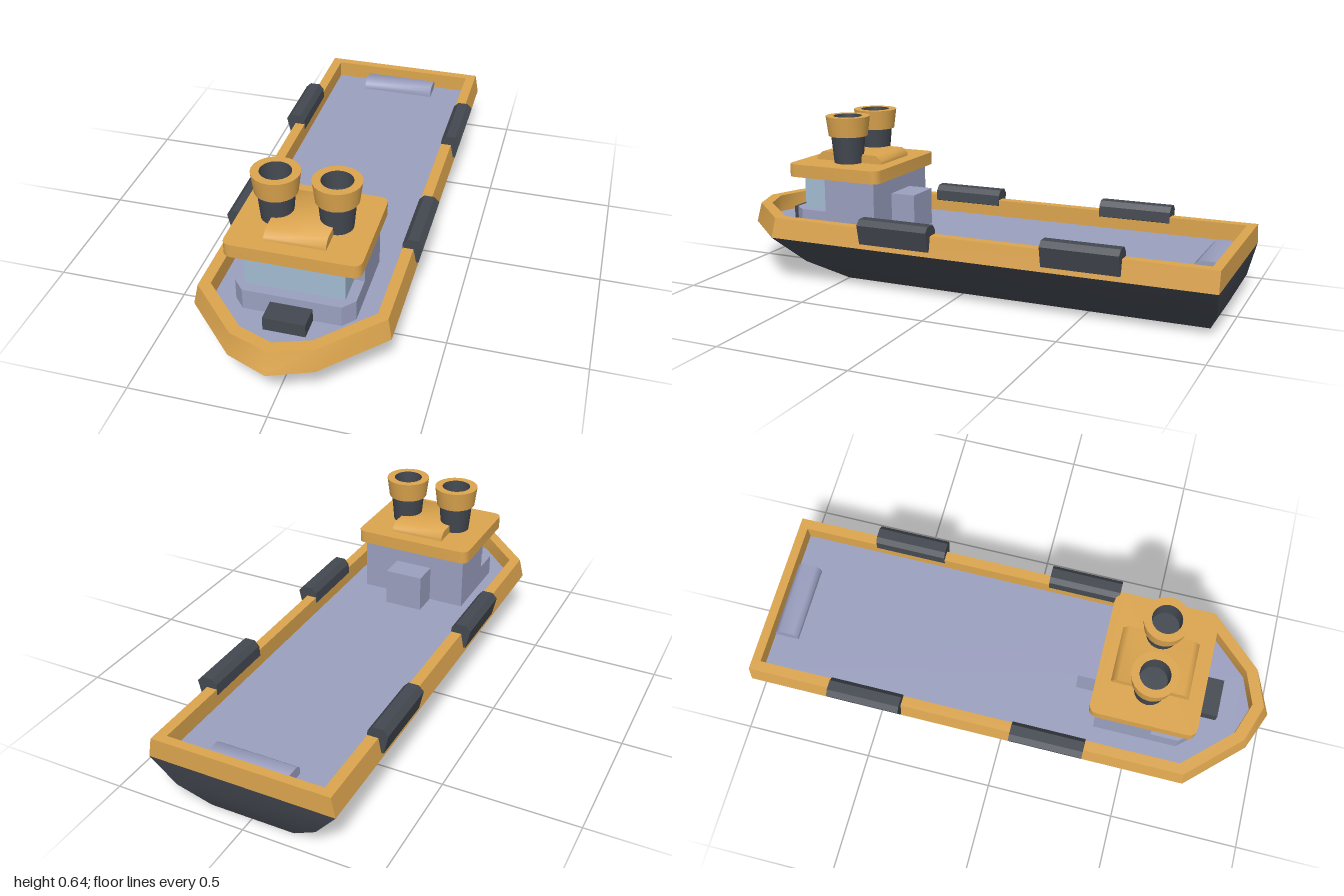
import * as THREE from 'three';
import { toCreasedNormals } from 'three/addons/utils/BufferGeometryUtils.js';

const material = (name, color) => {
  const m = new THREE.MeshStandardMaterial({ color });
  m.name = name;
  return m;
};

export function createModel() {
  const group = new THREE.Group();
  const gold = material('ochre trim', 0xdca54e);
  const dark = material('charcoal', 0x434850);
  const grey = material('lavender grey', 0x9a9fbf);
  const glass = material('pale blue glass', 0xa3bbd2);
  const DECK = 0.195;

  const add = (name, geometry, mat) => {
    const mesh = new THREE.Mesh(geometry, mat);
    mesh.name = name;
    group.add(mesh);
    return mesh;
  };
  const box = (name, mat, x0, x1, y0, y1, z0, z1) => {
    const g = new THREE.BoxGeometry(x1 - x0, y1 - y0, z1 - z0);
    g.translate((x0 + x1) / 2, (y0 + y1) / 2, (z0 + z1) / 2);
    return add(name, g, mat);
  };
  const shapeOf = (pts) => new THREE.Shape(pts.map(([a, b]) => new THREE.Vector2(a, b)));
  const extrude = (shape, depth) =>
    new THREE.ExtrudeGeometry(shape, { depth, bevelEnabled: false, curveSegments: 4 });

  // Plan outline at one height: straight sides and a faceted bow
  const ring = (y, w, stern, shoulder, bx, bz, bow) =>
    [[w, stern], [w, shoulder], [bx, bz], [0, bow], [-bx, bz], [-w, shoulder], [-w, stern]]
      .map(([x, z]) => [x, y, z]);
  // Skin between successive outlines
  const loft = (rings) => {
    const pos = [];
    for (let r = 0; r < rings.length - 1; r++) {
      const lo = rings[r], hi = rings[r + 1];
      lo.forEach((a, i) => {
        const j = (i + 1) % lo.length;
        pos.push(...lo[j], ...a, ...hi[i], ...lo[j], ...hi[i], ...hi[j]);
      });
    }
    const g = new THREE.BufferGeometry();
    g.setAttribute('position', new THREE.Float32BufferAttribute(pos, 3));
    return toCreasedNormals(g, 0.72);
  };

  const keel = ring(0, 0.16, -0.94, 0.5, 0.07, 0.63, 0.66);
  const bilge = ring(0.08, 0.265, -0.98, 0.63, 0.115, 0.81, 0.86);
  const waist = ring(0.185, 0.35, -1, 0.73, 0.15, 0.94, 1);
  const rim = ring(0.262, 0.335, -1, 0.72, 0.145, 0.92, 0.97);
  const inner = ring(0.262, 0.295, -0.965, 0.7, 0.125, 0.88, 0.925);
  const deckEdge = inner.map(([x, , z]) => [x, DECK, z]);

  // Hull, bulwark and deck
  add('hull', loft([keel, bilge, waist]), dark);
  const bottom = new THREE.ShapeGeometry(shapeOf(keel.map(([x, , z]) => [x, z])));
  add('hullBottom', bottom.rotateX(Math.PI / 2), dark);
  add('bulwark', loft([waist, rim, inner, deckEdge]), gold);
  const deck = new THREE.ShapeGeometry(shapeOf(deckEdge.map(([x, , z]) => [x, -z])));
  add('deck', deck.rotateX(-Math.PI / 2).translate(0, DECK, 0), grey);

  // Fenders hooked over both bulwarks
  const fenderProfile = [[0.292, 0.24], [0.345, 0.205], [0.355, 0.205], [0.372, 0.28],
    [0.352, 0.3], [0.313, 0.3], [0.295, 0.28]];
  for (const side of [1, -1]) {
    for (const z of [0.05, -0.67]) {
      const g = extrude(shapeOf(fenderProfile.map(([x, y]) => [x * side, y])), 0.285);
      add(side > 0 ? 'leftFender' : 'rightFender', g.translate(0, 0, z), dark);
    }
  }

  // Cabin with a glazed front standing on a chamfered base
  box('cabin', grey, -0.215, 0.215, DECK, 0.41, 0.35, 0.567);
  box('cabinWindow', glass, -0.178, 0.178, 0.27, 0.41, 0.56, 0.68);
  const base = shapeOf([[-0.215, -0.56], [0.215, -0.56], [0.215, -0.675],
    [0.175, -0.72], [-0.175, -0.72], [-0.215, -0.675]]);
  add('cabinBase', extrude(base, 0.275 - DECK).rotateX(-Math.PI / 2).translate(0, DECK, 0), grey);
  box('rearLocker', grey, -0.075, 0.075, DECK, 0.34, 0.25, 0.355);
  box('bowLocker', dark, -0.075, 0.075, DECK, 0.245, 0.715, 0.805);

  // Roof slab with rounded corners
  const w = 0.24, d = 0.2, r = 0.035;
  const roof = new THREE.Shape();
  roof.moveTo(-w + r, -d).lineTo(w - r, -d).quadraticCurveTo(w, -d, w, -d + r);
  roof.lineTo(w, d - r).quadraticCurveTo(w, d, w - r, d);
  roof.lineTo(-w + r, d).quadraticCurveTo(-w, d, -w, d - r);
  roof.lineTo(-w, -d + r).quadraticCurveTo(-w, -d, -w + r, -d);
  const roofGeo = extrude(roof, 0.05).rotateX(-Math.PI / 2).translate(0, 0.408, 0.52);
  add('roof', toCreasedNormals(roofGeo, 0.7), gold);

  // Blocks with softened front and back edges, running across the boat
  const softBlock = (name, mat, halfWidth, y0, y1, z0, z1, c) => {
    const s = shapeOf([[-z1, y0], [-z0, y0], [-z0, y1 - c], [-z0 - c * 1.2, y1],
      [-z1 + c * 1.2, y1], [-z1, y1 - c]]);
    const g = extrude(s, halfWidth * 2).rotateY(Math.PI / 2).translate(-halfWidth, 0, 0);
    add(name, toCreasedNormals(g, 0.9), mat);
  };
  softBlock('roofHump', gold, 0.108, 0.455, 0.491, 0.375, 0.665, 0.02);
  softBlock('sternBench', grey, 0.152, DECK, 0.235, -0.962, -0.87, 0.015);

  // Twin funnels with hollow collars
  const lathe = (pts) => toCreasedNormals(
    new THREE.LatheGeometry(pts.map(([x, y]) => new THREE.Vector2(x, y)), 24), 0.6);
  for (const side of [1, -1]) {
    const parts = [
      add('funnelPipe', lathe([[0.056, 0.45], [0.067, 0.57]]), dark),
      add('funnelCollar', lathe([[0.06, 0.565], [0.076, 0.565], [0.086, 0.642], [0.056, 0.642]]), gold),
      add('funnelBore', lathe([[0.056, 0.642], [0.052, 0.575], [0, 0.575]]), dark),
    ];
    parts.forEach((p) => p.position.set(0.107 * side, 0, 0.52));
  }
  return group;
}
